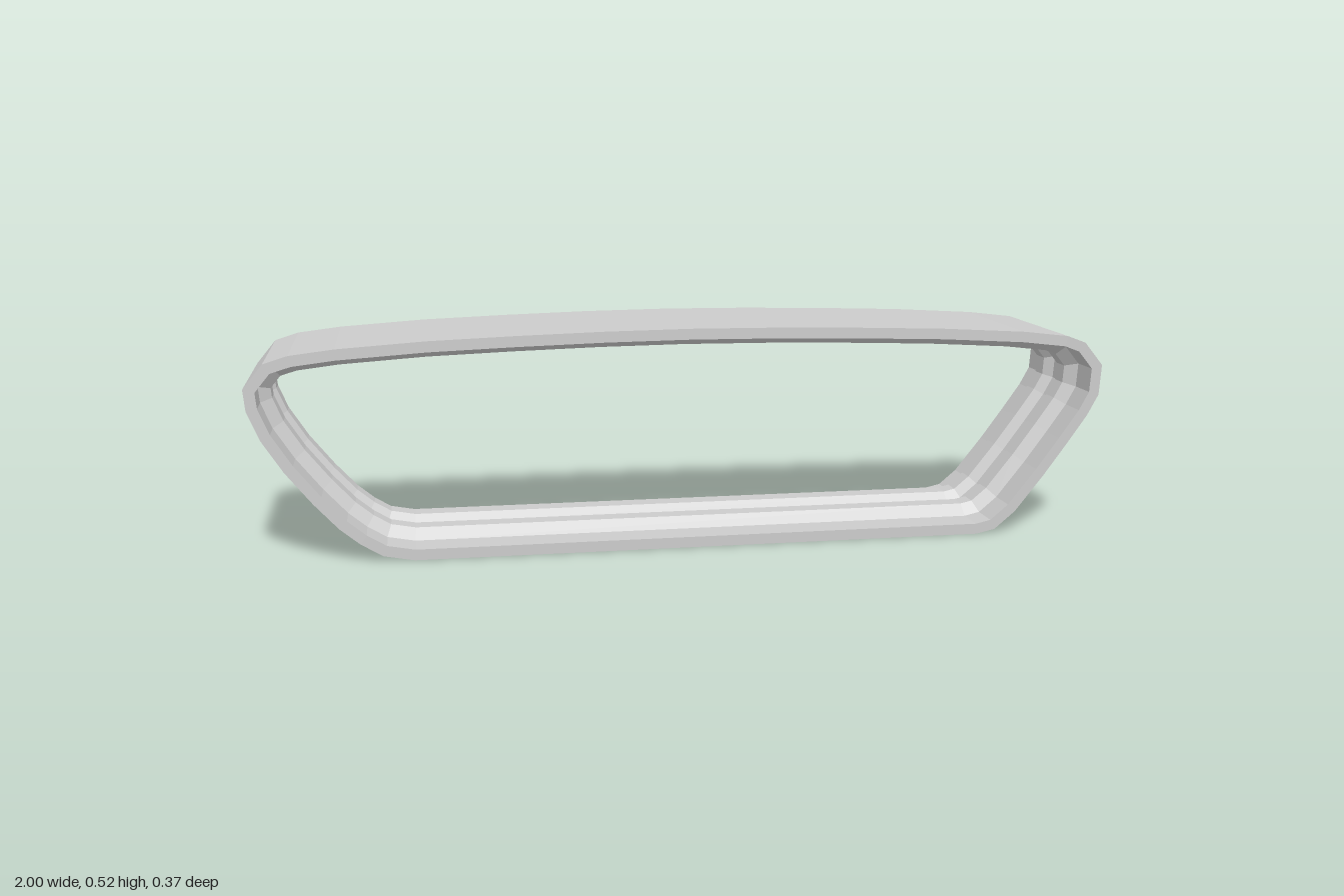
import * as THREE from 'three';

// Outline seen from the front, counter-clockwise
const OUTLINE = [
  [-0.64, 0], [0.70, 0], [0.745, 0.01], [0.795, 0.052], [0.865, 0.14], [0.92, 0.215],
  [0.968, 0.283], [0.995, 0.333], [1, 0.405], [0.955, 0.46], [0.91, 0.477], [0.8, 0.49],
  [0.6, 0.502], [0.4, 0.509], [0.2, 0.514], [0, 0.516], [-0.2, 0.514], [-0.4, 0.509],
  [-0.6, 0.502], [-0.8, 0.489], [-0.9, 0.477], [-0.955, 0.46], [-1, 0.405], [-0.995, 0.355],
  [-0.968, 0.29], [-0.92, 0.215], [-0.86, 0.14], [-0.805, 0.08], [-0.76, 0.043], [-0.71, 0.013],
].map(([x, y]) => new THREE.Vector2(x, y));

// Wall section as [z, inward depth]: flat lips, two ridges and a central groove
const HALF = [[0.187, 0], [0.187, 0.025], [0.11, 0.025], [0.085, 0.05], [0.04, 0.05], [0.02, 0.03]];
const SECTION = [...HALF, ...HALF.map(([z, d]) => [-z, d]).reverse()];

// Inward mitre direction at every outline point
function inwardMitres(points) {
  const n = points.length;
  const normal = (a, b) => {
    const t = b.clone().sub(a).normalize();
    return new THREE.Vector2(-t.y, t.x);
  };
  return points.map((p, i) => {
    const n0 = normal(points[(i + n - 1) % n], p);
    const n1 = normal(p, points[(i + 1) % n]);
    return n0.clone().add(n1).divideScalar(1 + n0.dot(n1));
  });
}

// Sweeps the wall section around the outline
function sweepGeometry(points, section) {
  const n = points.length, m = section.length;
  const mitres = inwardMitres(points);
  const positions = [], index = [];
  points.forEach((p, i) => {
    for (const [z, d] of section) positions.push(p.x + mitres[i].x * d, p.y + mitres[i].y * d, z);
    for (let j = 0; j < m; j++) {
      const i2 = (i + 1) % n, j2 = (j + 1) % m;
      const a = i * m + j, b = i2 * m + j, c = i2 * m + j2, e = i * m + j2;
      index.push(a, b, c, a, c, e);
    }
  });
  const indexed = new THREE.BufferGeometry();
  indexed.setAttribute('position', new THREE.Float32BufferAttribute(positions, 3));
  indexed.setIndex(index);
  const geometry = indexed.toNonIndexed();
  geometry.computeVertexNormals();
  return geometry;
}

export function createModel() {
  const group = new THREE.Group();
  group.name = 'ribbedFrame';
  const material = new THREE.MeshStandardMaterial({ color: 0xcccccc, flatShading: true });
  const frame = new THREE.Mesh(sweepGeometry(OUTLINE, SECTION), material);
  frame.name = 'frameWall';
  group.add(frame);
  return group;
}
